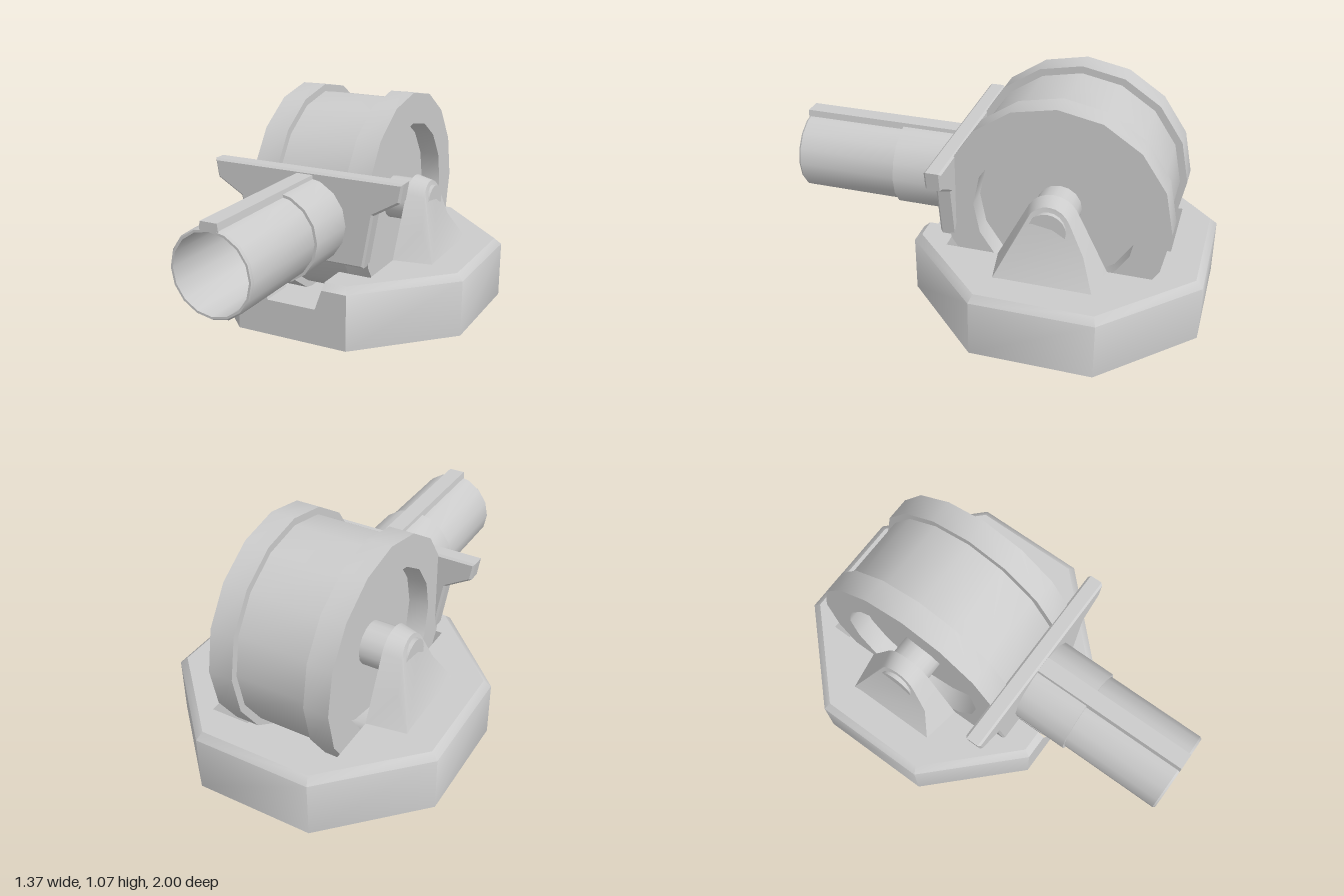
import * as THREE from 'three';
import { toCreasedNormals } from 'three/addons/utils/BufferGeometryUtils.js';

const CENTRE_Z = -0.315, AXLE_Y = 0.54;

export function createModel() {
  const model = new THREE.Group();
  const grey = new THREE.MeshStandardMaterial({ color: 0xcccccc });
  const thin = new THREE.MeshStandardMaterial({ color: 0xcccccc, side: THREE.DoubleSide });

  function add(parent, name, geometry, material = grey, crease = 0.6) {
    const mesh = new THREE.Mesh(toCreasedNormals(geometry, crease), material);
    mesh.name = name;
    parent.add(mesh);
    return mesh;
  }
  const shapeOf = (points) => new THREE.Shape(points.map(([x, y]) => new THREE.Vector2(x, y)));
  const lathe = (points, sides) =>
    new THREE.LatheGeometry(points.map(([r, h]) => new THREE.Vector2(r, h)), sides);
  function quads(list) {
    const position = [];
    for (const [a, b, c, d] of list) position.push(...a, ...b, ...c, ...a, ...c, ...d);
    const geometry = new THREE.BufferGeometry();
    geometry.setAttribute('position', new THREE.Float32BufferAttribute(position, 3));
    return geometry;
  }

  // Hollow octagonal base, bevelled at the top, with a pit and a front notch
  const base = new THREE.Group();
  base.name = 'base';
  base.position.z = CENTRE_Z;
  model.add(base);
  const top = 0.305, wallTop = 0.275, outer = 0.685, inner = 0.652;
  const notch = 0.16, notchLow = 0.125, notchY = 0.175;
  const pitX = 0.32, pitZ = 0.51, pitY = 0.04;
  const corner = (i, apothem, y) => {
    const a = (i + 0.5) * Math.PI / 4, r = apothem / Math.cos(Math.PI / 8);
    return [r * Math.sin(a), y, r * Math.cos(a)];
  };

  const walls = [];
  for (let i = 0; i < 7; i++) {
    const low = [corner(i, outer, 0), corner(i + 1, outer, 0)];
    const mid = [corner(i, outer, wallTop), corner(i + 1, outer, wallTop)];
    const high = [corner(i, inner, top), corner(i + 1, inner, top)];
    walls.push([low[0], low[1], mid[1], mid[0]], [mid[0], mid[1], high[1], high[0]]);
  }
  // front bevel on both sides of the notch
  walls.push(
    [[notch, wallTop, outer], corner(0, outer, wallTop), corner(0, inner, top), [notch, top, inner]],
    [corner(7, outer, wallTop), [-notch, wallTop, outer], [-notch, top, inner], corner(7, inner, top)]);
  add(base, 'baseWalls', quads(walls), thin, 0.9);

  const notchedWall = (half, bottom, height, z) => new THREE.ShapeGeometry(shapeOf([
    [-half, bottom], [half, bottom], [half, height], [notch, height],
    [notchLow, notchY], [-notchLow, notchY], [-notch, height], [-half, height],
  ])).translate(0, 0, z);
  add(base, 'baseFront', notchedWall(corner(0, outer, 0)[0], 0, wallTop, outer), thin);
  add(base, 'pitFront', notchedWall(pitX, pitY, top, pitZ), thin);

  const outline = [];
  for (let i = 0; i < 8; i++) {
    const [x, , z] = corner(i, inner, top);
    outline.push([x, -z]);
  }
  outline.push([-notch, -inner], [-notch, -pitZ], [-pitX, -pitZ], [-pitX, pitZ],
    [pitX, pitZ], [pitX, -pitZ], [notch, -pitZ], [notch, -inner]);
  add(base, 'baseTop', new THREE.ShapeGeometry(shapeOf(outline))
    .rotateX(-Math.PI / 2).translate(0, top, 0), thin);

  const recess = [
    [[-notchLow, notchY, outer], [notchLow, notchY, outer], [notchLow, notchY, pitZ], [-notchLow, notchY, pitZ]],
    [[-pitX, pitY, pitZ], [pitX, pitY, pitZ], [pitX, pitY, -pitZ], [-pitX, pitY, -pitZ]],
    [[-pitX, pitY, -pitZ], [pitX, pitY, -pitZ], [pitX, top, -pitZ], [-pitX, top, -pitZ]],
  ];
  for (const s of [-1, 1]) {
    recess.push(
      [[s * notchLow, notchY, outer], [s * notch, top, outer - 0.033], [s * notch, top, pitZ], [s * notchLow, notchY, pitZ]],
      [[s * pitX, pitY, pitZ], [s * pitX, pitY, -pitZ], [s * pitX, top, -pitZ], [s * pitX, top, pitZ]]);
  }
  add(base, 'pitAndNotch', quads(recess), thin);

  // Drum with two rims and recessed ends
  const half = [[0.495, 0.18], [0.53, 0.18], [0.53, 0.3], [0.38, 0.3], [0.38, 0.2], [0, 0.2]];
  const drumProfile = [...half.map(([r, h]) => [r, -h]).reverse(), ...half];
  const drum = add(model, 'drum', lathe(drumProfile, 16).rotateZ(-Math.PI / 2));
  drum.position.set(0, AXLE_Y, CENTRE_Z);

  // Axle and its bosses
  const axle = add(model, 'axle', new THREE.CylinderGeometry(0.085, 0.085, 0.85, 20).rotateZ(Math.PI / 2));
  axle.position.copy(drum.position);
  const boss = add(model, 'axleBoss', new THREE.CylinderGeometry(0.105, 0.105, 0.7, 16).rotateZ(Math.PI / 2));
  boss.position.copy(drum.position);

  // Arched brackets, flared outwards at the foot
  const arch = [[-0.265, 0.29], [0.265, 0.29], [0.19, 0.44]];
  for (let i = 0; i <= 8; i++) {
    const a = THREE.MathUtils.degToRad(28 + i * 15.5);
    arch.push([0.125 * Math.cos(a), AXLE_Y + 0.125 * Math.sin(a)]);
  }
  arch.push([-0.19, 0.44]);
  const flare = (y) => y < 0.44
    ? THREE.MathUtils.mapLinear(y, 0.29, 0.44, 0.515, 0.43)
    : THREE.MathUtils.mapLinear(y, 0.44, 0.665, 0.43, 0.4);
  for (const side of [1, -1]) {
    const geometry = new THREE.ExtrudeGeometry(shapeOf(arch), { depth: 1, bevelEnabled: false });
    const p = geometry.attributes.position;
    for (let i = 0; i < p.count; i++) {
      const y = p.getY(i);
      if (p.getZ(i) > 0.5) p.setXYZ(i, p.getX(i) * 0.88, y > 0.5 ? y - 0.018 : y, flare(y));
      else p.setZ(i, 0.32);
    }
    geometry.rotateY(side * Math.PI / 2);
    add(model, side > 0 ? 'leftBracket' : 'rightBracket', geometry).position.z = CENTRE_Z;
  }

  // Winged shield plate in front of the drum
  const wing = [[0.29, 0.365], [0.335, 0.62], [0.462, 0.695], [0.475, 0.77]];
  const plate = new THREE.ExtrudeGeometry(
    shapeOf([...wing, ...wing.map(([x, y]) => [-x, y]).reverse()]),
    { depth: 0.06, bevelThickness: 0.01, bevelSize: 0.01, bevelSegments: 1 });
  add(model, 'shieldPlate', plate.translate(0, 0, 0.16));

  // Barrel with a wider sleeve and a hollow bore with a rounded end
  const barrel = lathe([
    [0.21, 0.18], [0.21, 0.5], [0.197, 0.5], [0.197, 0.99], [0.19, 1], [0.18, 1],
    [0.18, 0.4], [0.15, 0.32], [0.09, 0.27], [0, 0.25],
  ], 16).rotateX(Math.PI / 2);
  add(model, 'barrel', barrel).position.y = AXLE_Y + 0.005;

  // Rib along the top of the barrel
  const rib = new THREE.ExtrudeGeometry(
    shapeOf([[-0.045, 0.728], [0.045, 0.728], [0.04, 0.765], [-0.04, 0.765]]),
    { depth: 0.78, bevelEnabled: false });
  add(model, 'barrelRib', rib.translate(0, 0, 0.22));

  return model;
}
